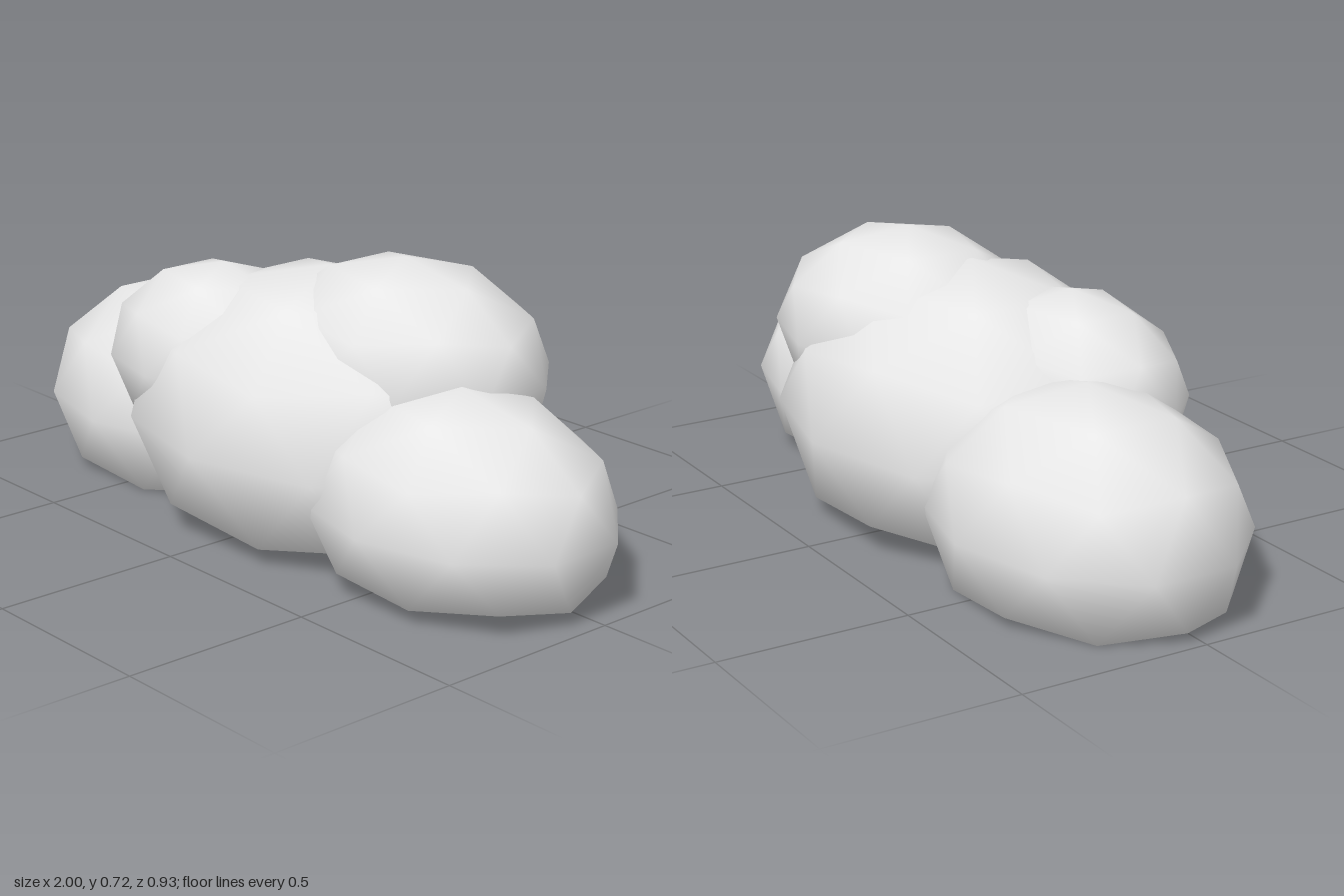
import * as THREE from 'three';
import { mergeVertices } from 'three/addons/utils/BufferGeometryUtils.js';

// Unit puff: an icosphere standing on a corner, smooth shaded, with a flattened underside
function puffGeometry(rx, ry, rz) {
  let geo = new THREE.IcosahedronGeometry(1, 1);
  geo.deleteAttribute('uv');
  geo.deleteAttribute('normal');
  geo = mergeVertices(geo, 1e-4);
  geo.rotateX(-Math.atan2(1 + Math.sqrt(5), 2)); // corner to the top
  geo.rotateY(Math.PI / 2);
  const pos = geo.attributes.position;
  for (let i = 0; i < pos.count; i++) pos.setY(i, Math.max(pos.getY(i), -0.5257));
  geo.scale(rx, ry, rz);
  geo.computeVertexNormals();
  return geo;
}

export function createModel() {
  const group = new THREE.Group();
  group.name = 'cloud';

  const cloudWhite = new THREE.MeshStandardMaterial({ color: 0xe7e7e7 });
  cloudWhite.name = 'cloudWhite';

  // name, centre, radii
  const puffs = [
    ['middlePuff', [0.035, 0.26, 0], [0.6, 0.41, 0.465]],
    ['rightPuff', [-0.55, 0.176, -0.035], [0.473, 0.334, 0.367]],
    ['leftPuff', [0.585, 0.195, 0.07], [0.436, 0.3, 0.34]],
    ['upperBackPuff', [0.24, 0.45, -0.067], [0.412, 0.27, 0.327]],
    ['upperFrontPuff', [-0.245, 0.386, 0.12], [0.357, 0.256, 0.265]],
  ];
  for (const [name, centre, radii] of puffs) {
    const puff = new THREE.Mesh(puffGeometry(...radii), cloudWhite);
    puff.name = name;
    puff.position.set(...centre);
    group.add(puff);
  }
  return group;
}
